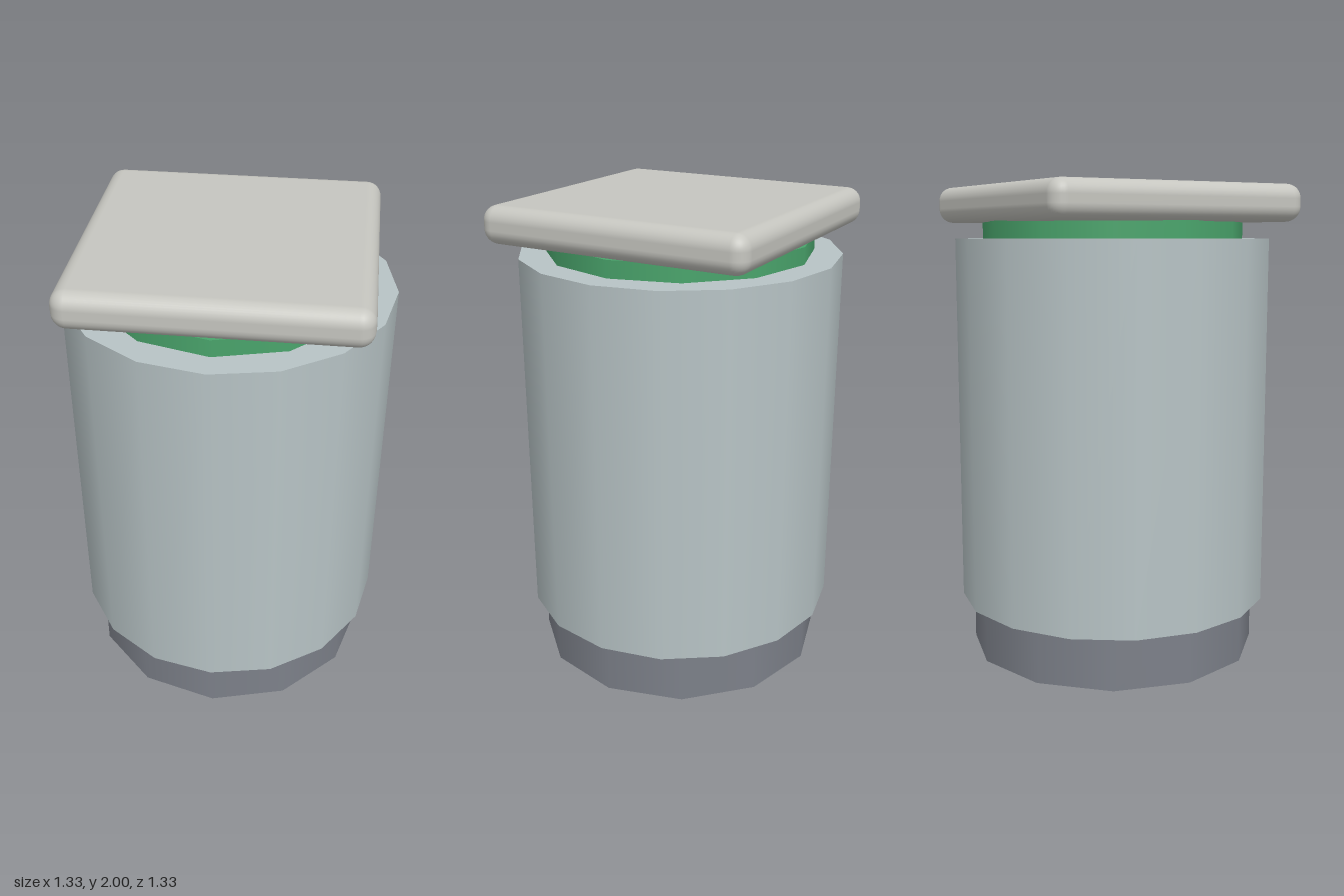
import * as THREE from 'three';
import { RoundedBoxGeometry } from 'three/addons/geometries/RoundedBoxGeometry.js';

// Upright faceted drum spanning y0..y1
function drum(name, radius, y0, y1, sides, color) {
  const mesh = new THREE.Mesh(
    new THREE.CylinderGeometry(radius, radius, y1 - y0, sides),
    new THREE.MeshStandardMaterial({ color })
  );
  mesh.name = name;
  mesh.position.y = (y0 + y1) / 2;
  return mesh;
}

export function createModel() {
  const group = new THREE.Group();
  group.name = 'canister';

  // Stacked drums: dark foot, pale body, green collar
  group.add(
    drum('base', 0.622, 0, 0.228, 12, 0x7d818a),
    drum('body', 0.667, 0.228, 1.78, 16, 0xb8c4c6),
    drum('collar', 0.555, 1.78, 1.85, 12, 0x4aa56c)
  );

  // Square lid with rounded edges
  const lid = new THREE.Mesh(
    new RoundedBoxGeometry(1.154, 0.153, 1.154, 4, 0.06),
    new THREE.MeshStandardMaterial({ color: 0xc6c6c0 })
  );
  lid.name = 'lid';
  lid.position.y = 1.9235;
  group.add(lid);

  return group;
}
